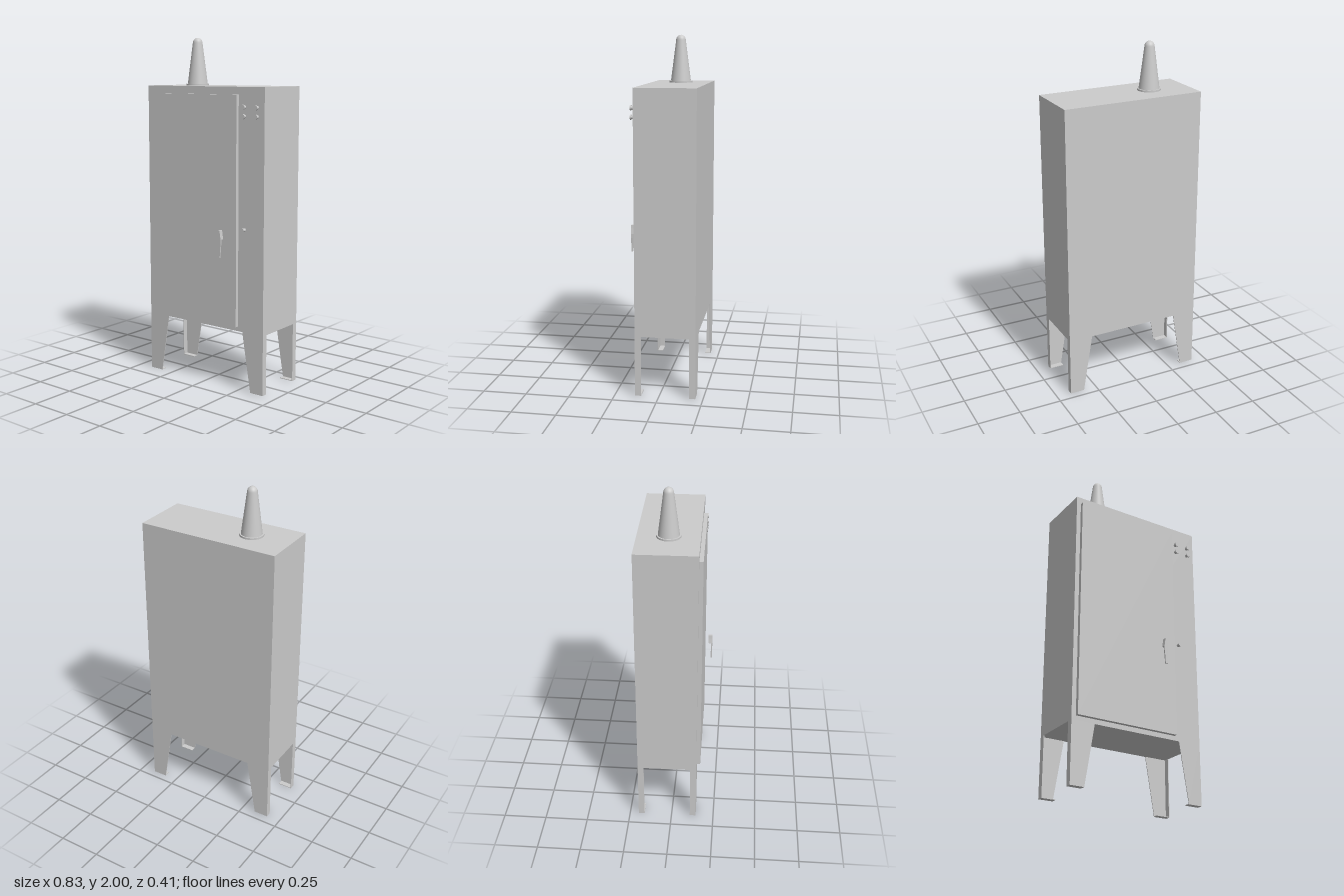
import * as THREE from 'three';

export function createModel() {
  const model = new THREE.Group();
  model.name = 'controlCabinet';
  const body = new THREE.Group();
  body.name = 'cabinet';
  body.position.z = -0.031;
  body.rotation.y = 0.0107; // stands very slightly askew
  model.add(body);

  const grey = new THREE.MeshStandardMaterial({ color: 0xcccccc });
  const sheet = new THREE.MeshStandardMaterial({ color: 0xcccccc, side: THREE.DoubleSide });
  const add = (name, geometry, x, y, z, material = grey) => {
    const mesh = new THREE.Mesh(geometry, material);
    mesh.name = name;
    mesh.position.set(x, y, z);
    body.add(mesh);
    return mesh;
  };
  const box = (name, x0, x1, y0, y1, z0, z1) =>
    add(name, new THREE.BoxGeometry(Math.abs(x1 - x0), y1 - y0, Math.abs(z1 - z0)),
      (x0 + x1) / 2, (y0 + y1) / 2, (z0 + z1) / 2);

  const W = 0.415, D = 0.1715, floor = 0.348, top = 1.725, t = 0.004;

  // Housing and door
  box('housing', -W, W, floor, top, -D, D);
  box('door', -0.389, 0.243, 0.375, 1.682, D, D + 0.022);

  // Four folded sheet legs: tapered face, side flange and foot lip
  for (const sx of [-1, 1]) {
    for (const sz of [-1, 1]) {
      const face = new THREE.Shape([
        [W, 0], [0.33, 0], [0.273, floor], [W, floor],
      ].map(([x, y]) => new THREE.Vector2(sx * x, y)));
      const plate = new THREE.ExtrudeGeometry(face, { depth: t, bevelEnabled: false });
      add('legFace', plate, 0, 0, sz > 0 ? D - t : -D);
      box('legFlange', sx * (W - t), sx * W, 0, floor, sz * (D - 0.035), sz * (D - t));
      box('footLip', sx * 0.33, sx * (W - t), 0, t, sz * (D - 0.035), sz * (D - t));
    }
  }

  // Domed conical antenna with its base ring
  const antenna = [[0.06, 0], [0.0285, 0.244]];
  for (let i = 1; i <= 8; i++) {
    const a = (i / 8) * Math.PI / 2;
    antenna.push([0.0285 * Math.cos(a), 0.244 + 0.031 * Math.sin(a)]);
  }
  const profile = antenna.map(([r, y]) => new THREE.Vector2(Math.max(r, 0), y));
  add('antennaCone', new THREE.LatheGeometry(profile, 40), -0.18, top, 0.001, sheet);
  add('antennaBaseRing', new THREE.CylinderGeometry(0.067, 0.067, 0.01, 40), -0.18, top + 0.005, 0.001);

  // Push buttons: stem and wider cap
  const disc = (name, r, x, y, z0, z1) => {
    const mesh = add(name, new THREE.CylinderGeometry(r, r, z1 - z0, 24), x, y, (z0 + z1) / 2);
    mesh.rotation.x = Math.PI / 2;
  };
  for (const x of [0.283, 0.367]) {
    for (const y of [1.615, 1.565]) {
      disc('buttonStem', 0.01, x, y, D, 0.188);
      disc('buttonCap', 0.015, x, y, 0.188, 0.195);
    }
  }
  disc('keyLock', 0.01, 0.285, 0.937, D, 0.193);

  // Door handle: tapered grip with a thicker upper hub
  const outline = [
    [0.007, 0.773], [0.009, 0.815], [0.013, 0.855], [0.013, 0.878], [0.008, 0.91], [0.006, 0.928],
  ];
  const extrude = (points, depth) => new THREE.ExtrudeGeometry(
    new THREE.Shape([
      ...points.map(([x, y]) => new THREE.Vector2(x, y)),
      ...points.slice().reverse().map(([x, y]) => new THREE.Vector2(-x, y)),
    ]), { depth, bevelEnabled: false });
  add('handleGrip', extrude(outline, 0.008), 0.155, 0, 0.229);
  add('handleHub', extrude(outline.slice(3), 0.016), 0.155, 0, 0.213);

  return model;
}
